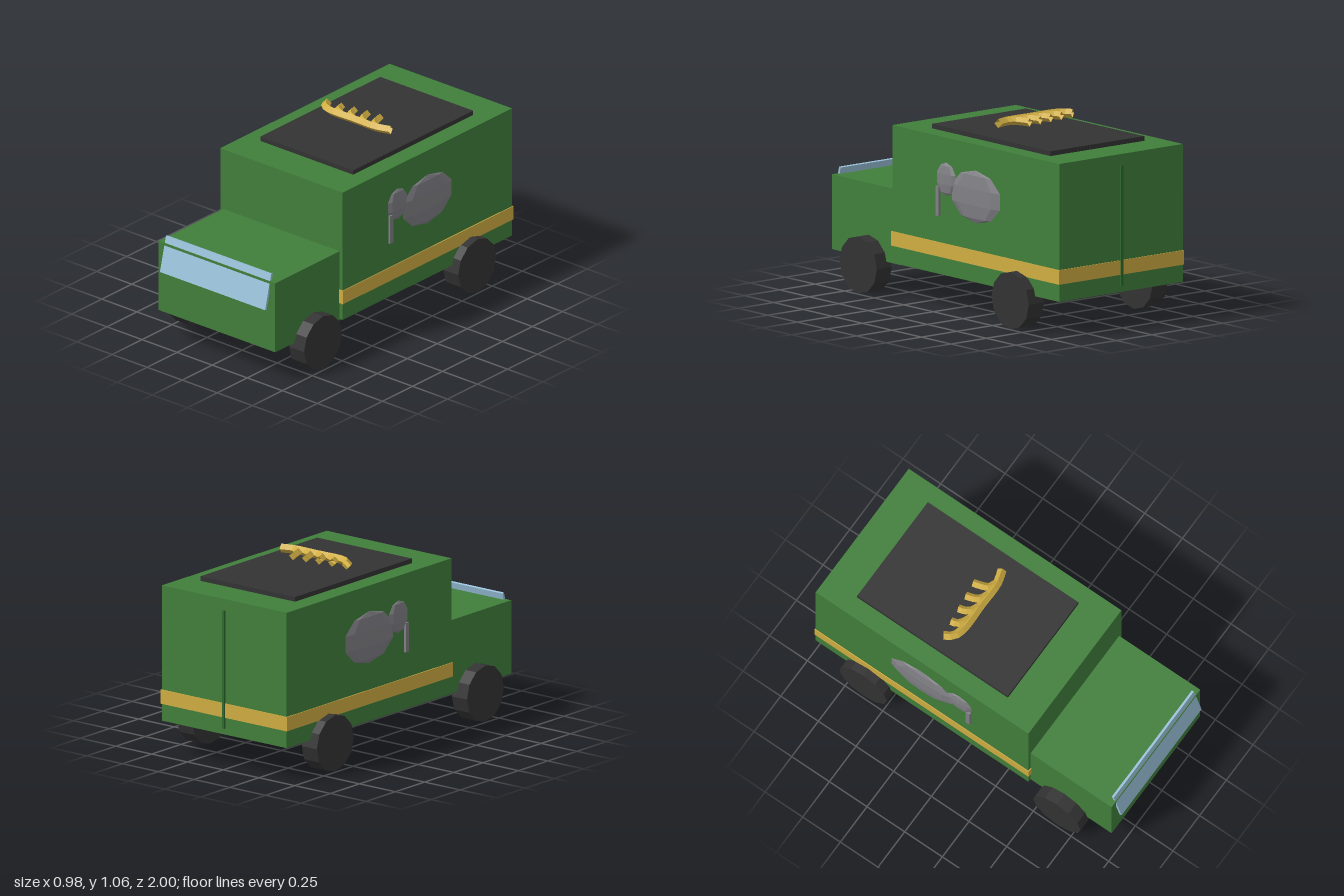
import * as THREE from 'three';

const mat = (name, color, extra = {}) => {
  const m = new THREE.MeshStandardMaterial({ color, flatShading: true, ...extra });
  m.name = name;
  return m;
};

export function createModel() {
  const green = mat('green paint', 0x417f3b);
  const darkGreen = mat('dark green seam', 0x2f6a2e);
  const black = mat('charcoal', 0x333333);
  const gold = mat('gold', 0xd0ad42, { side: THREE.DoubleSide });
  const glass = mat('pale blue glass', 0x9ac2da);
  const grey = mat('grey', 0x808086);

  const van = new THREE.Group();
  van.name = 'van';
  const add = (name, geo, material, x, y, z, parent = van) => {
    const m = new THREE.Mesh(geo, material);
    m.name = name;
    m.position.set(x, y, z);
    parent.add(m);
    return m;
  };
  const box = (name, material, w, h, d, x, y, z, parent) =>
    add(name, new THREE.BoxGeometry(w, h, d), material, x, y, z, parent);

  // Body shells
  box('cargoBody', green, 0.872, 0.762, 1.412, 0, 0.579, -0.284);
  box('cab', green, 0.83, 0.413, 0.58, 0, 0.3965, 0.67);
  box('stripe', gold, 0.882, 0.08, 1.422, 0, 0.334, -0.284);
  box('rearDoorSeam', darkGreen, 0.015, 0.665, 0.012, 0, 0.565, -0.994);
  box('roofPanel', black, 0.662, 0.026, 1.0, 0, 0.973, -0.289);

  // Tilted windscreen, crossed by the front top edge of the cab
  const screen = box('windscreen', glass, 0.75, 0.206, 0.014, 0, 0.541, 0.965);
  screen.rotation.x = -0.25;

  // Wheels
  const wheelGeo = new THREE.CylinderGeometry(0.158, 0.158, 0.106, 12);
  wheelGeo.rotateZ(Math.PI / 2);
  for (const s of [1, -1])
    for (const [end, z] of [['front', 0.648], ['rear', -0.638]])
      add(`${end}Wheel${s > 0 ? 'Left' : 'Right'}`, wheelGeo, black, s * 0.436, 0.159, z);

  // Flattened elephant emblem on each side
  const ball = new THREE.SphereGeometry(1, 8, 5);
  for (const s of [1, -1]) {
    const emblem = new THREE.Group();
    emblem.name = s > 0 ? 'elephantLeft' : 'elephantRight';
    van.add(emblem);
    add('elephantBody', ball, grey, s * 0.436, 0.67, -0.284, emblem).scale.set(0.022, 0.146, 0.214);
    add('elephantHead', ball, grey, s * 0.436, 0.73, -0.034, emblem).scale.set(0.018, 0.092, 0.084);
    box('elephantTrunk', grey, 0.03, 0.165, 0.027, s * 0.434, 0.603, 0.028, emblem);
  }

  // Curved roof ornament: a stem with four side prongs
  const ornament = new THREE.Group();
  ornament.name = 'roofOrnament';
  van.add(ornament);
  const tube = (name, pts, r, steps) => {
    const curve = new THREE.CatmullRomCurve3(pts.map(([x, z]) => new THREE.Vector3(x, 0, z)));
    add(name, new THREE.TubeGeometry(curve, steps, r, 4), gold, 0, 1.04, 0, ornament);
  };
  tube('stem', [[-0.262, -0.265], [-0.235, -0.222], [-0.18, -0.2], [0, -0.2], [0.15, -0.2], [0.228, -0.223]], 0.025, 14);
  for (let i = 0; i < 4; i++) {
    const x = -0.172 + i * 0.083, z = -0.279 - i * 0.01;
    tube('prong', [[x, z], [x + 0.01, z + 0.035], [x + 0.03, -0.225], [x + 0.075, -0.203]], 0.023, 5);
  }

  return van;
}
